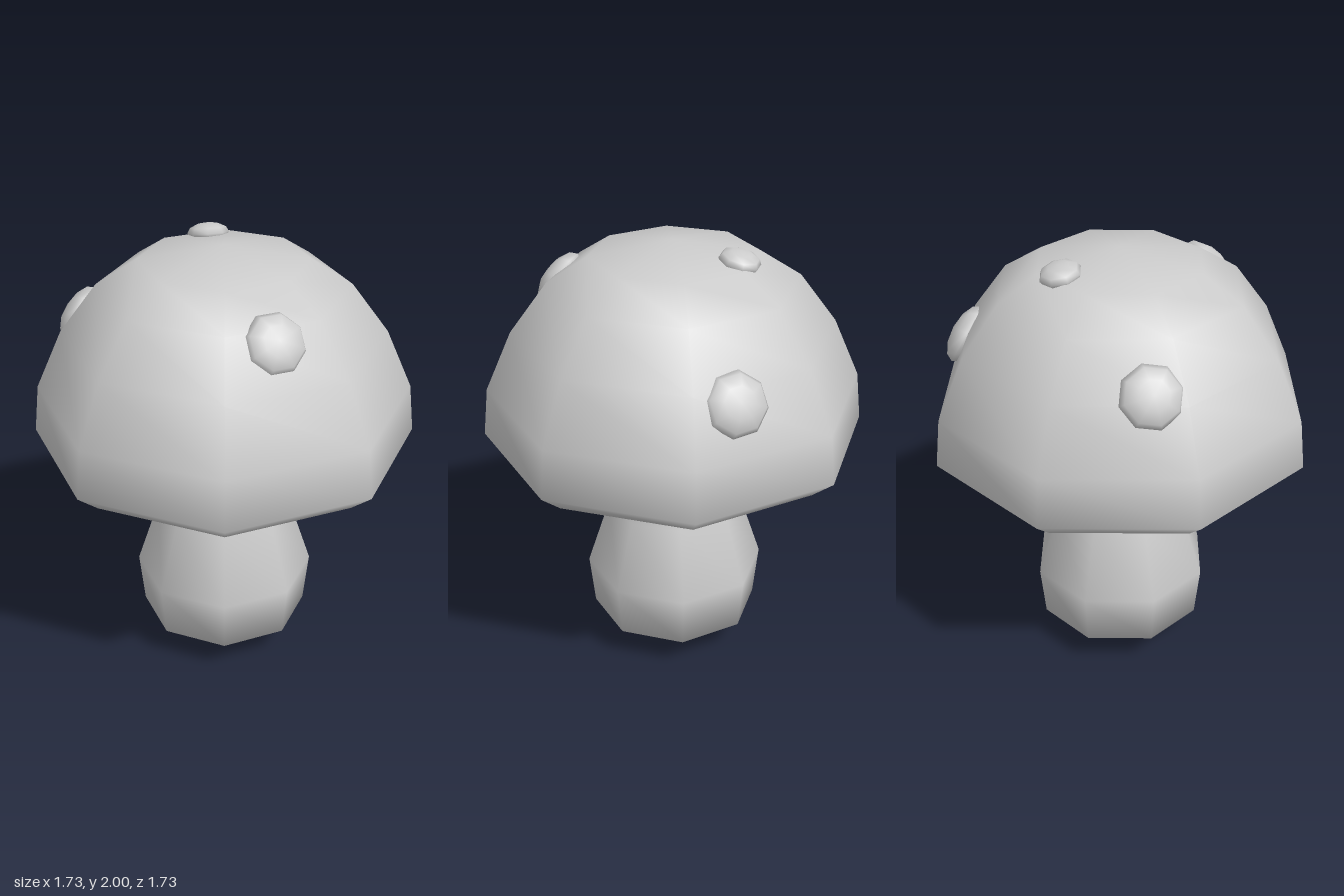
import * as THREE from 'three';
import { mergeVertices } from 'three/addons/utils/BufferGeometryUtils.js';

const material = new THREE.MeshStandardMaterial({ color: 0xcccccc });

// Eight-sided turned shape with smooth normals, profile given bottom to top
function turned(name, profile) {
  let geometry = new THREE.LatheGeometry(profile.map(([r, y]) => new THREE.Vector2(r, y)), 8);
  geometry.deleteAttribute('uv');
  geometry.deleteAttribute('normal');
  geometry = mergeVertices(geometry, 1e-4);
  geometry.computeVertexNormals();
  const mesh = new THREE.Mesh(geometry, material);
  mesh.name = name;
  return mesh;
}

// Flattened bump lying on the cap; lift is the upward part of its facing direction
function spot(name, x, y, z, radius, lift) {
  const mesh = new THREE.Mesh(new THREE.SphereGeometry(radius, 8, 6), material);
  const out = new THREE.Vector3(x, 0, z).normalize();
  out.y = lift;
  mesh.quaternion.setFromUnitVectors(new THREE.Vector3(0, 1, 0), out.normalize());
  mesh.scale.y = 0.48;
  mesh.position.set(x, y, z);
  mesh.name = name;
  return mesh;
}

export function createModel() {
  const group = new THREE.Group();
  group.name = 'mushroom';

  // Bulbous stem, flaring into the underside of the cap
  group.add(turned('stem', [
    [0, 0], [0.39, 0.16], [0.415, 0.4], [0.31, 0.72],
    [0.25, 0.92], [0.29, 0.985], [0.42, 1.01],
  ]));

  // Domed cap with a flat underside
  group.add(turned('cap', [
    [0.42, 1.01], [0.76, 1.02], [0.865, 1.11], [0.84, 1.33],
    [0.72, 1.6], [0.555, 1.82], [0.375, 1.935], [0, 2],
  ]));

  // Raised spots
  group.add(
    spot('frontSpot', 0.2, 1.765, 0.5, 0.135, 0.71),
    spot('sideSpot', -0.645, 1.635, -0.13, 0.137, 0.62),
    spot('backSpot', 0.35, 1.54, -0.6, 0.14, 0.55),
    spot('topSpot', -0.07, 1.95, -0.295, 0.093, 4),
  );
  return group;
}
